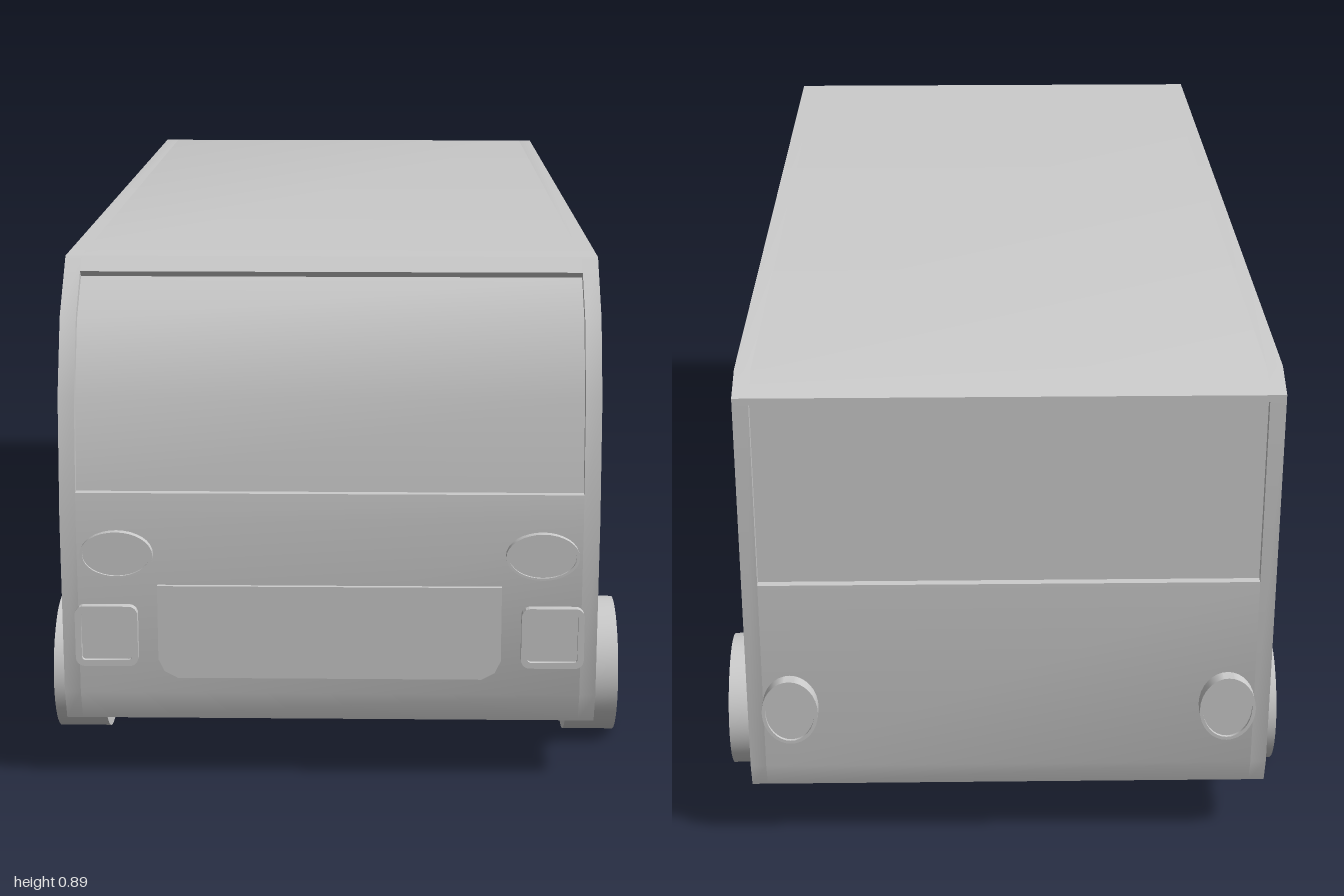
import * as THREE from 'three';
import { toCreasedNormals } from 'three/addons/utils/BufferGeometryUtils.js';

const grey = new THREE.MeshStandardMaterial({ color: 0xcccccc });
const CX = -0.006;   // body centre line
const HALF = 0.449;  // half body width
const SKIN = 0.027;  // thickness of the side walls
const GLASS = 0.015; // how deep the side glass sits

// Points are [z, y] for side shapes and [x, y] for front and rear ones.
const outline = pts => pts.map(p => new THREE.Vector2(p[0], p[1]));

function ellipse(rx, ry) {
  const s = new THREE.Shape();
  s.absellipse(0, 0, rx, ry, 0, Math.PI * 2);
  return s;
}

function roundedRect(w, h, r) {
  const x = w / 2, y = h / 2, s = new THREE.Shape();
  s.absarc(x - r, y - r, r, 0, Math.PI / 2);
  s.absarc(-x + r, y - r, r, Math.PI / 2, Math.PI);
  s.absarc(-x + r, -y + r, r, Math.PI, Math.PI * 1.5);
  s.absarc(x - r, -y + r, r, Math.PI * 1.5, Math.PI * 2);
  return s;
}

function extrude(shape, depth, curveSegments = 16) {
  const g = new THREE.ExtrudeGeometry(shape, { depth, bevelEnabled: false, curveSegments });
  return toCreasedNormals(g, 0.5);
}

function add(parent, geometry, name) {
  const mesh = new THREE.Mesh(geometry, grey);
  mesh.name = name;
  parent.add(mesh);
  return mesh;
}

// Extrudes a [z, y] shape across the width, from x0 to x1
function addAcross(parent, shape, x0, x1, name) {
  const g = extrude(shape, x1 - x0);
  g.rotateY(-Math.PI / 2);
  g.translate(x1, 0, 0);
  return add(parent, g, name);
}

// Raised rim around a sunken lens, facing +z
function makeLamp(outer, inner, rimDepth, lensDepth, name) {
  const lamp = new THREE.Group();
  lamp.name = name;
  const rim = outer.clone();
  rim.holes.push(inner);
  add(lamp, extrude(rim, rimDepth), name + 'Rim');
  add(lamp, extrude(inner, lensDepth), name + 'Lens');
  return lamp;
}

// Half ring over a wheel, cut level with the floor
function archShape(z, y, rOut, rIn) {
  const a = Math.asin((0.10 - y) / rOut), b = Math.asin((0.10 - y) / rIn);
  const s = new THREE.Shape();
  s.absarc(z, y, rOut, a, Math.PI - a, false);
  s.absarc(z, y, rIn, Math.PI - b, b, true);
  return s;
}

export function createModel() {
  const model = new THREE.Group();
  model.name = 'van';
  const body = new THREE.Group();
  body.name = 'body';
  body.position.x = CX;
  model.add(body);

  // Side profile, and the same profile sunk in at windscreen and rear window
  const floorFront = [[-0.925, 0.10], [0.935, 0.10], [0.968, 0.113], [0.985, 0.165], [0.987, 0.47]];
  const roof = [[0.83, 0.888], [-0.917, 0.888], [-0.978, 0.862]];
  const tail = [[-0.978, 0.165], [-0.965, 0.12]];
  const profile = [...floorFront, [0.965, 0.675], [0.915, 0.80], ...roof, ...tail];
  const sunkProfile = [
    ...floorFront, [0.983, 0.515],
    [0.969, 0.515], [0.951, 0.67], [0.904, 0.792], [0.842, 0.855], [0.852, 0.865],
    ...roof, [-0.978, 0.85], [-0.964, 0.85], [-0.964, 0.52], [-0.978, 0.52], ...tail,
  ];
  addAcross(body, new THREE.Shape(outline(sunkProfile)), -HALF + SKIN, HALF - SKIN, 'cabin');

  // Side walls with three windows each
  const windows = [
    [[0.408, 0.49], [0.918, 0.49], [0.905, 0.625], [0.868, 0.755], [0.79, 0.855], [0.408, 0.855]],
    [[-0.615, 0.49], [0.40, 0.49], [0.40, 0.855], [-0.615, 0.855]],
    [[-0.915, 0.49], [-0.662, 0.49], [-0.662, 0.855], [-0.915, 0.855]],
  ];
  const wall = new THREE.Shape(outline(profile));
  windows.forEach(w => wall.holes.push(new THREE.Path(outline(w))));

  const axles = [{ z: 0.70, arch: 0.145 }, { z: -0.675, arch: 0.15 }];

  // Wheel: tyre with a sunken hub disc, axis along y before turning
  const wheelGeometry = toCreasedNormals(new THREE.LatheGeometry(outline([
    [0, 0], [0.12, 0], [0.12, 0.09], [0.10, 0.09], [0.10, 0.075], [0, 0.075],
  ]), 40), 0.5);

  for (const side of [-1, 1]) {
    const label = side > 0 ? 'left' : 'right';
    const across = (shape, a, b, name) =>
      addAcross(body, shape, Math.min(side * a, side * b), Math.max(side * a, side * b), name);

    across(wall, HALF - SKIN, HALF, label + 'SideWall');
    windows.forEach((w, i) =>
      across(new THREE.Shape(outline(w)), HALF - SKIN, HALF - GLASS, label + 'Window' + (i + 1)));

    for (const { z, arch } of axles) {
      const end = z > 0 ? 'Front' : 'Rear';
      // Stepped wheel arch
      across(archShape(z, 0.127, arch, arch - 0.018), HALF, HALF + 0.014, label + end + 'Arch');
      across(archShape(z, 0.127, arch - 0.018, 0.11), HALF, HALF + 0.007, label + end + 'ArchLip');
      const wheel = add(model, wheelGeometry, label + end + 'Wheel');
      wheel.rotation.z = -side * Math.PI / 2;
      wheel.position.set(side * 0.41, 0.12, z);
    }

    // Oval headlamps, square lamps below them, oval tail lamps
    const head = makeLamp(ellipse(0.061, 0.04), ellipse(0.056, 0.036), 0.015, 0.011, label + 'Headlamp');
    head.position.set(side * 0.355, 0.412, 0.985);
    const square = makeLamp(roundedRect(0.105, 0.105, 0.015), roundedRect(0.084, 0.084, 0.006),
      0.016, 0.009, label + 'SquareLamp');
    square.position.set(side * 0.374, 0.27, 0.984);
    const rear = makeLamp(ellipse(0.048, 0.061), ellipse(0.042, 0.055), 0.024, 0.019, label + 'TailLamp');
    rear.position.set(side * 0.375, 0.285, -0.976);
    rear.rotation.y = Math.PI;
    body.add(head, square, rear);
  }

  // Grille panel with cut lower corners
  const grille = add(body, extrude(new THREE.Shape(outline([
    [-0.288, 0.357], [-0.288, 0.228], [-0.278, 0.207], [-0.256, 0.195],
    [0.256, 0.195], [0.278, 0.207], [0.288, 0.228], [0.288, 0.357],
  ])), 0.01), 'grille');
  grille.position.z = 0.984;

  return model;
}
